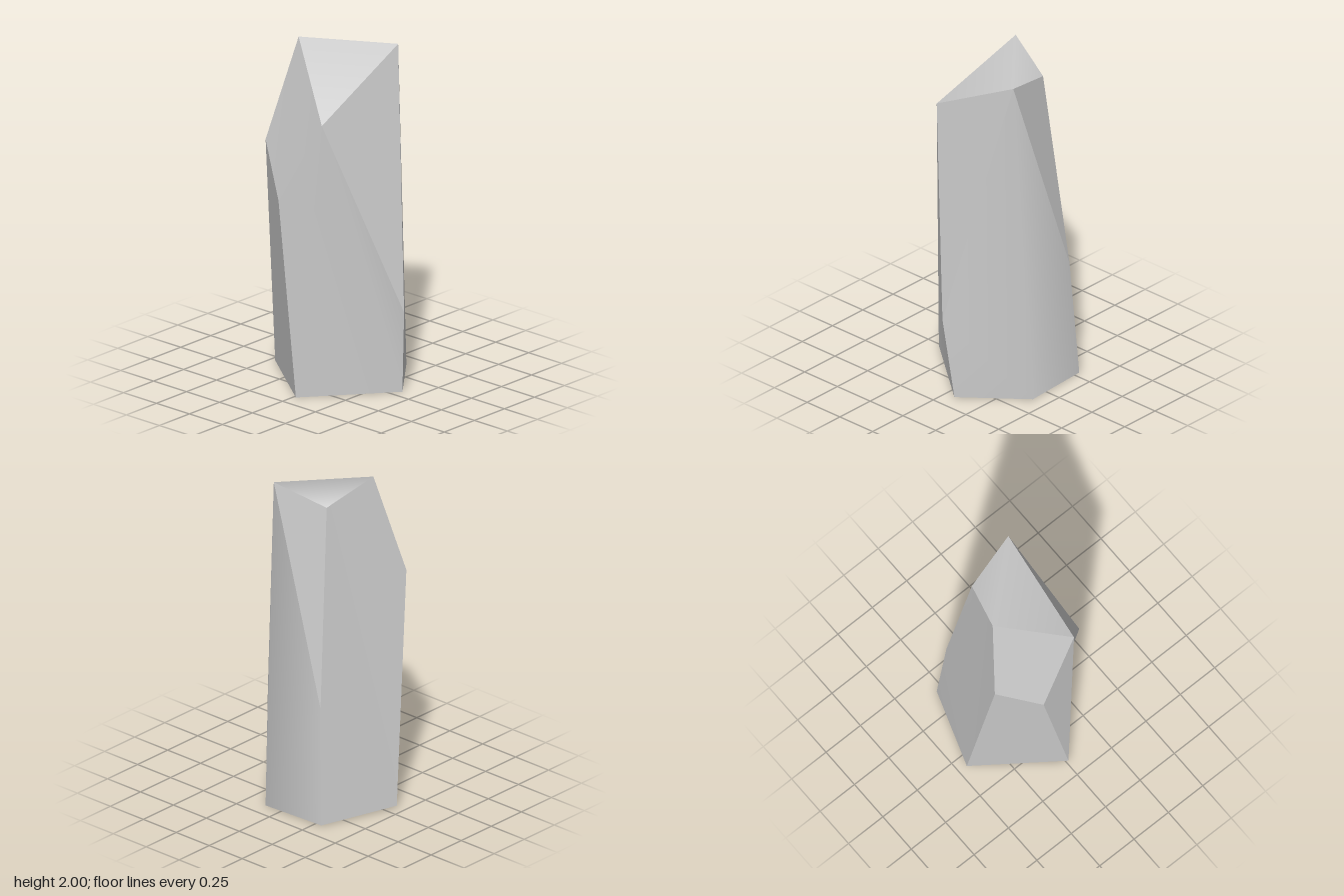
import * as THREE from 'three';

// Corners of the crystal
const corners = {
  // foot
  footFront: [0.065, 0, 0.395],
  footLeft: [0.405, 0, 0.115],
  footBackLeft: [0.385, 0, -0.29],
  footBack: [-0.07, 0.012, -0.447],
  footRight: [-0.405, 0, 0.015],
  // belly
  bellyFront: [0.022, 0.5, 0.447],
  bellyLeft: [0.348, 0.7, -0.25],
  shoulderRight: [-0.377, 1.13, -0.142],
  shoulderBack: [-0.229, 1.4, -0.375],
  // crown
  crownRight: [-0.315, 1.63, 0.13],
  crownFront: [0.293, 1.96, 0.155],
  crownLeft: [0.215, 1.88, -0.175],
  crownBack: [-0.076, 2.0, -0.264],
};

// Facets, corners counter-clockwise seen from outside, smooth inside each facet
const facets = {
  topFacet: ['crownFront', 'crownLeft', 'crownBack', 'crownRight'],
  frontFacet: ['crownRight', 'bellyFront', 'crownFront'],
  frontRightFacet: ['crownRight', 'footRight', 'footFront', 'bellyFront'],
  leftFacet: ['footLeft', 'footBackLeft', 'bellyLeft', 'crownFront', 'bellyFront', 'footFront'],
  upperLeftFacet: ['crownFront', 'bellyLeft', 'crownLeft'],
  backFacet: ['footBack', 'shoulderBack', 'crownBack', 'crownLeft', 'bellyLeft', 'footBackLeft'],
  upperRightFacet: ['crownBack', 'shoulderBack', 'shoulderRight', 'crownRight'],
  lowerRightFacet: ['shoulderBack', 'footBack', 'footRight', 'shoulderRight'],
  rightSliver: ['shoulderRight', 'footRight', 'crownRight'],
  baseFacet: ['footFront', 'footRight', 'footBack', 'footBackLeft', 'footLeft'],
};

// Fan of triangles from the first corner
function facetGeometry(names) {
  const geometry = new THREE.BufferGeometry();
  const positions = names.flatMap((name) => corners[name]);
  const index = [];
  for (let i = 1; i < names.length - 1; i++) index.push(0, i, i + 1);
  geometry.setAttribute('position', new THREE.Float32BufferAttribute(positions, 3));
  geometry.setIndex(index);
  geometry.computeVertexNormals();
  return geometry;
}

export function createModel() {
  const group = new THREE.Group();
  group.name = 'crystalRock';
  const material = new THREE.MeshStandardMaterial({ color: 0xcccccc });
  for (const [name, names] of Object.entries(facets)) {
    const mesh = new THREE.Mesh(facetGeometry(names), material);
    mesh.name = name;
    group.add(mesh);
  }
  return group;
}
